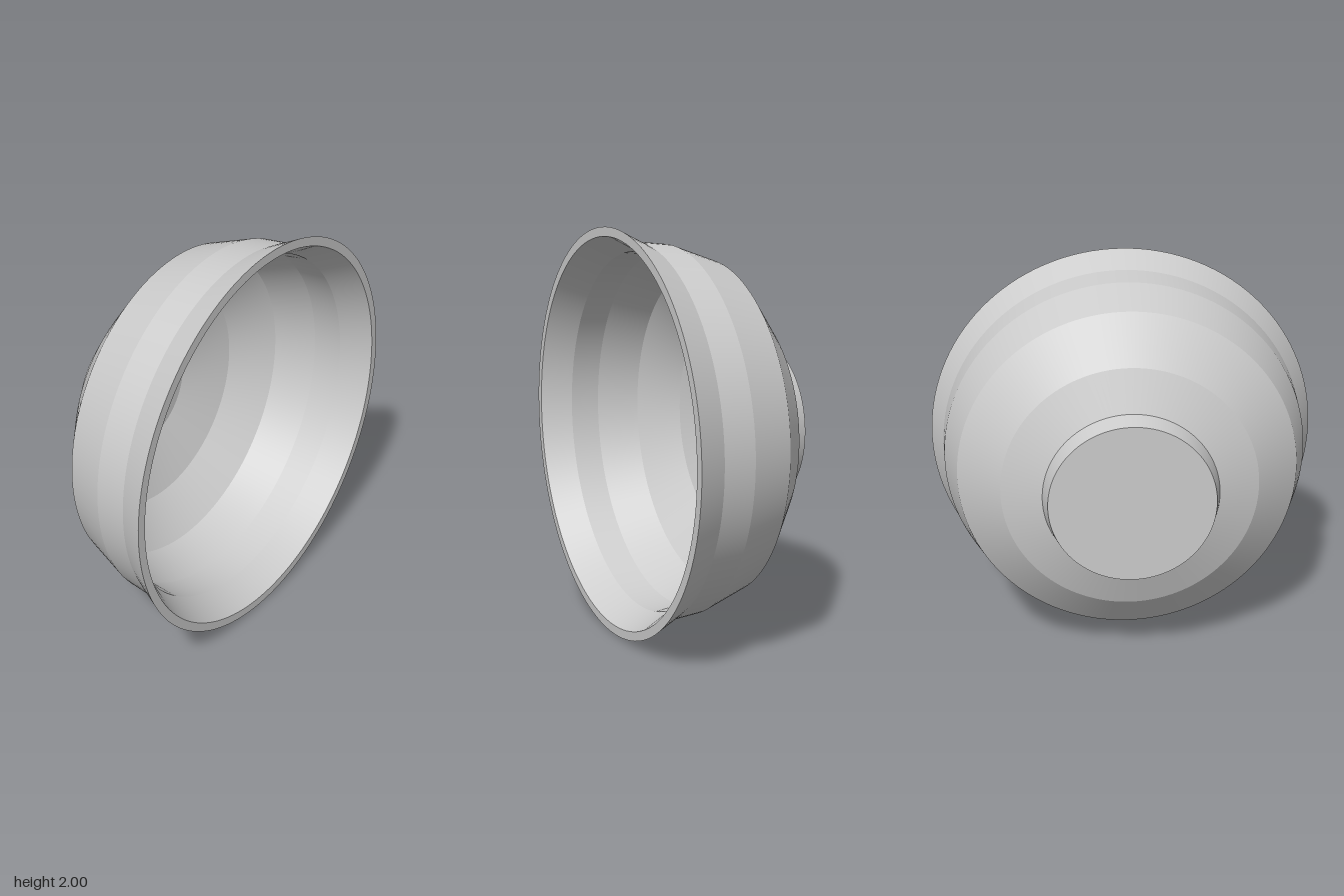
import * as THREE from 'three';

export function createModel() {
  const bowl = new THREE.Group();
  bowl.name = 'bowl';
  const clay = new THREE.MeshStandardMaterial({ color: 0xcccccc });
  clay.name = 'plain grey';

  // One lathe per band keeps a crisp ring between bands, smooth around the axis.
  // Points are [radius, distance along the bowl's axis].
  function addBands(name, points) {
    const part = new THREE.Group();
    part.name = name;
    for (let i = 0; i < points.length - 1; i++) {
      const pair = [points[i], points[i + 1]].map(([r, h]) => new THREE.Vector2(r, h));
      const band = new THREE.Mesh(new THREE.LatheGeometry(pair, 128), clay);
      band.name = name + 'Band' + (i + 1);
      part.add(band);
    }
    bowl.add(part);
  }

  // Closed foot the bowl would stand on
  addBands('foot', [[0, -0.435], [0.4, -0.435], [0.425, -0.34]]);

  // Faceted outer wall with a flared lip
  addBands('outerWall', [
    [0.425, -0.34], [0.625, -0.265], [0.84, -0.09],
    [0.915, 0.13], [0.93, 0.29], [1, 0.435],
  ]);

  // Flat rim
  addBands('rim', [[1, 0.435], [0.955, 0.435]]);

  // Inner wall and floor, following the outside
  addBands('innerWall', [
    [0.955, 0.435], [0.88, 0.285], [0.868, 0.135],
    [0.79, -0.07], [0.59, -0.235], [0.31, -0.335], [0, -0.335],
  ]);

  // Lay the bowl on its side, opening towards +x, resting on its lip
  bowl.rotation.z = -Math.PI / 2;
  bowl.position.y = 1;
  const model = new THREE.Group();
  model.name = 'tippedBowl';
  model.add(bowl);
  return model;
}
